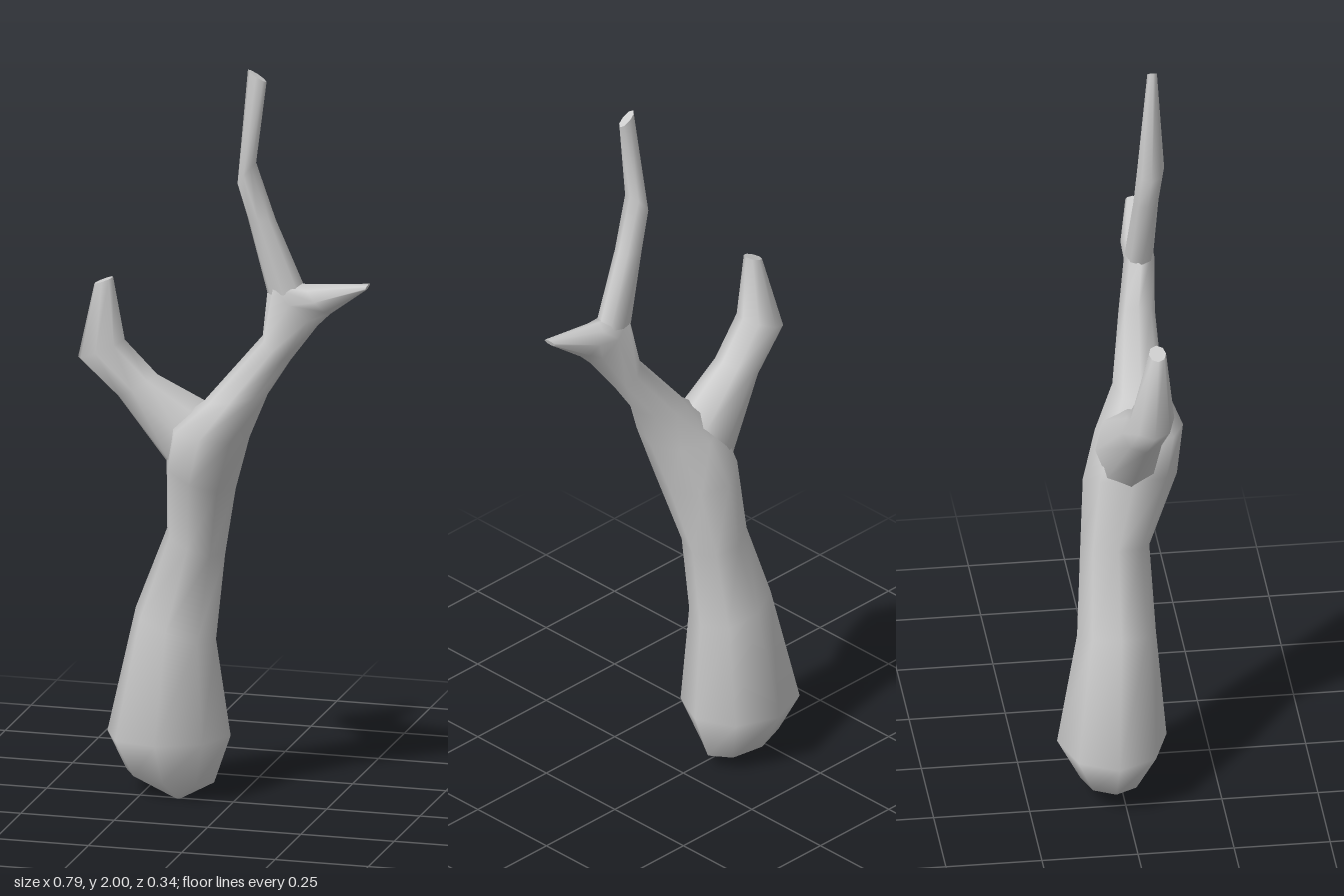
import * as THREE from 'three';

const SIDES = 8;

// Limb skinned over oval rings: [x1, y1, x2, y2, zFront, zBack],
// where the two xy points are opposite edges of the limb's outline.
function limb(name, rings, material) {
  const pos = [], index = [];
  const addRing = ([x1, y1, x2, y2, zf, zb]) => {
    for (let i = 0; i < SIDES; i++) {
      const a = (i / SIDES) * Math.PI * 2, c = Math.cos(a) / 2, s = Math.sin(a) / 2;
      pos.push((x1 + x2) / 2 + (x2 - x1) * c, (y1 + y2) / 2 + (y2 - y1) * c, (zf + zb) / 2 + (zf - zb) * s);
    }
  };
  rings.forEach(addRing);
  for (let r = 0; r < rings.length - 1; r++) {
    for (let i = 0; i < SIDES; i++) {
      const j = (i + 1) % SIDES, a = r * SIDES + i, b = r * SIDES + j;
      index.push(a, a + SIDES, b, b, a + SIDES, b + SIDES);
    }
  }
  // Flat cut end with its own vertices, so its edge stays sharp
  const cap = pos.length / 3;
  addRing(rings[rings.length - 1]);
  for (let i = 1; i < SIDES - 1; i++) index.push(cap, cap + i + 1, cap + i);

  const geometry = new THREE.BufferGeometry();
  geometry.setAttribute('position', new THREE.Float32BufferAttribute(pos, 3));
  geometry.setIndex(index);
  geometry.computeVertexNormals();
  const mesh = new THREE.Mesh(geometry, material);
  mesh.name = name;
  return mesh;
}

export function createModel() {
  const group = new THREE.Group();
  group.name = 'forkedBranch';
  const wood = new THREE.MeshStandardMaterial({ color: 0xcccccc, side: THREE.DoubleSide });

  // Thick handle running up through the fork into the main bough and its pointed spur
  group.add(limb('trunkAndMainBough', [
    [-0.16, 0.003, -0.14, 0.0, 0.01, -0.01],
    [-0.295, 0.06, -0.06, 0.04, 0.05, -0.11],
    [-0.345, 0.16, -0.015, 0.17, 0.115, -0.17],
    [-0.265, 0.5, -0.05, 0.43, 0.09, -0.115],
    [-0.18, 0.72, -0.025, 0.66, 0.08, -0.1],
    [-0.17, 0.92, 0.015, 0.85, 0.155, -0.09],
    [-0.15, 1.02, 0.06, 1.0, 0.175, -0.055],
    [-0.06, 1.09, 0.11, 1.12, 0.13, 0.0],
    [0.1, 1.28, 0.175, 1.22, 0.125, 0.03],
    [0.12, 1.44, 0.25, 1.32, 0.13, 0.05],
    [0.22, 1.43, 0.285, 1.355, 0.13, 0.05],
    [0.39, 1.445, 0.385, 1.43, 0.12, 0.08],
  ], wood));

  // Short side bough that bends upward
  group.add(limb('sideBough', [
    [-0.165, 0.9, -0.03, 1.06, 0.11, -0.06],
    [-0.295, 1.08, -0.19, 1.145, 0.105, -0.01],
    [-0.4, 1.18, -0.275, 1.235, 0.115, 0.0],
    [-0.352, 1.385, -0.302, 1.405, 0.095, 0.05],
  ], wood));

  // Thin crooked twig at the top
  group.add(limb('topTwig', [
    [0.115, 1.4, 0.22, 1.41, 0.125, 0.05],
    [0.065, 1.6, 0.14, 1.6, 0.13, 0.065],
    [0.04, 1.69, 0.09, 1.75, 0.14, 0.07],
    [0.07, 2.0, 0.12, 1.97, 0.125, 0.1],
  ], wood));

  return group;
}
